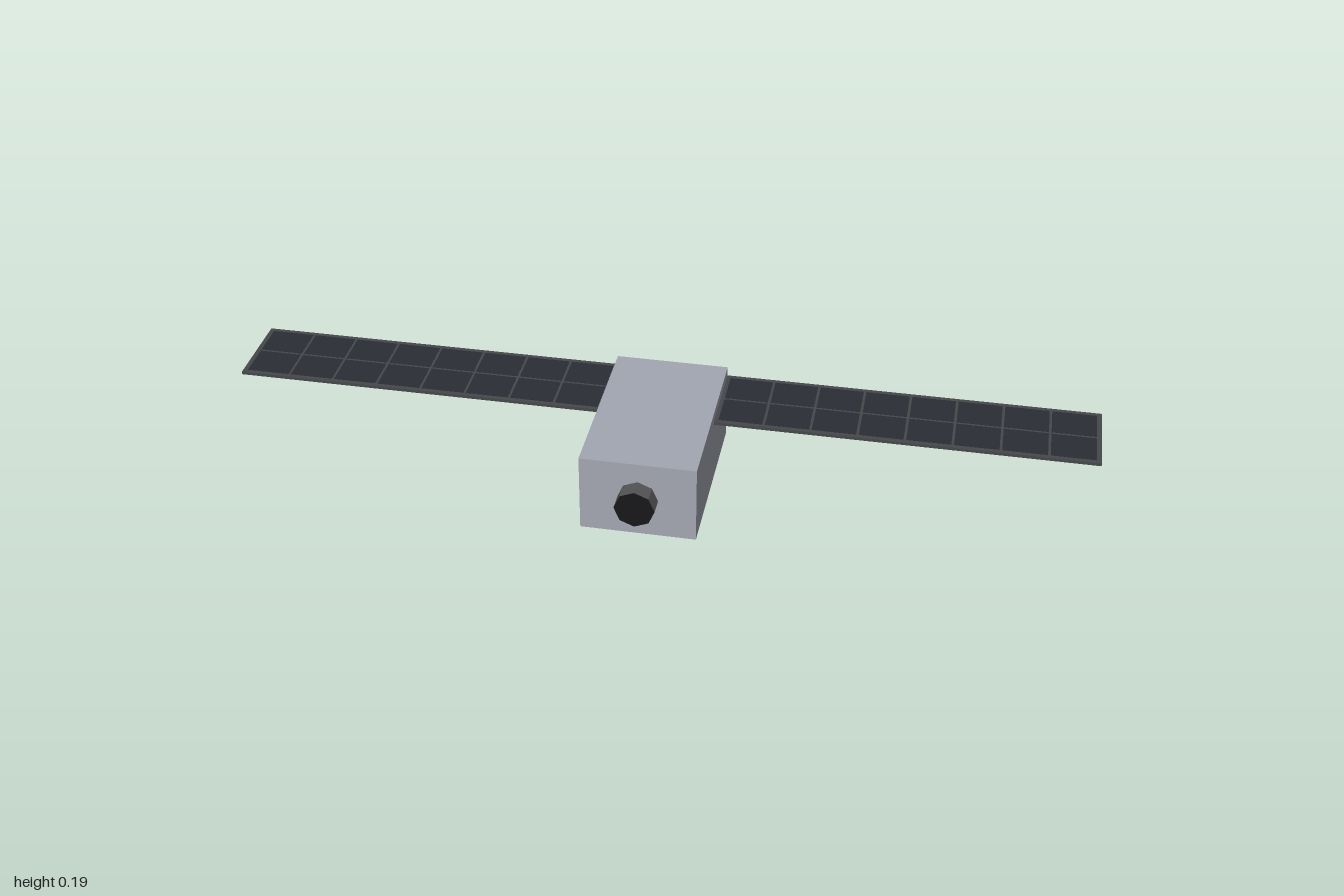
import * as THREE from 'three';

export function createModel() {
  const model = new THREE.Group();
  const mat = (color) => new THREE.MeshStandardMaterial({ color, flatShading: true });
  const bodyMat = mat(0xa3a7b2), frameMat = mat(0x45474a), cellMat = mat(0x2a2d35);
  const barrelMat = mat(0x555558), blackMat = mat(0x18181a);

  const add = (parent, name, geometry, material, x, y, z) => {
    const mesh = new THREE.Mesh(geometry, material);
    mesh.name = name;
    mesh.position.set(x, y, z);
    parent.add(mesh);
    return mesh;
  };

  // Main body
  add(model, 'body', new THREE.BoxGeometry(0.264, 0.187, 0.428), bodyMat, 0, 0.0985, -0.02);

  // Dark panel just under the body, facing down
  const under = add(model, 'undersidePanel', new THREE.PlaneGeometry(0.214, 0.37), blackMat, 0, 0, -0.02);
  under.rotation.x = Math.PI / 2;

  // Octagonal lens barrel with a black front
  const barrel = add(model, 'lensBarrel', new THREE.CylinderGeometry(0.046, 0.046, 0.042, 8),
    [barrelMat, blackMat, blackMat], 0, 0.0995, 0.214);
  barrel.rotation.x = Math.PI / 2;

  // Solar wings: a thin frame with 8 x 2 cells on both faces
  const inner = 0.13, outer = 1, width = 0.2, rim = 0.008, gap = 0.006;
  const pitchX = (outer - inner - 2 * rim) / 8;
  const pitchZ = (width - 2 * rim) / 2;
  const cell = new THREE.BoxGeometry(pitchX - gap, 0.008, pitchZ - gap);
  for (const side of [1, -1]) {
    const wing = new THREE.Group();
    wing.name = side > 0 ? 'leftSolarWing' : 'rightSolarWing';
    wing.position.set(0, 0.166, -0.134);
    add(wing, 'wingFrame', new THREE.BoxGeometry(outer - inner, 0.007, width), frameMat,
      side * (inner + outer) / 2, 0, 0);
    for (let i = 0; i < 8; i++) {
      for (const row of [-0.5, 0.5]) {
        add(wing, 'solarCell', cell, cellMat, side * (inner + rim + pitchX * (i + 0.5)), 0, row * pitchZ);
      }
    }
    model.add(wing);
  }
  return model;
}
